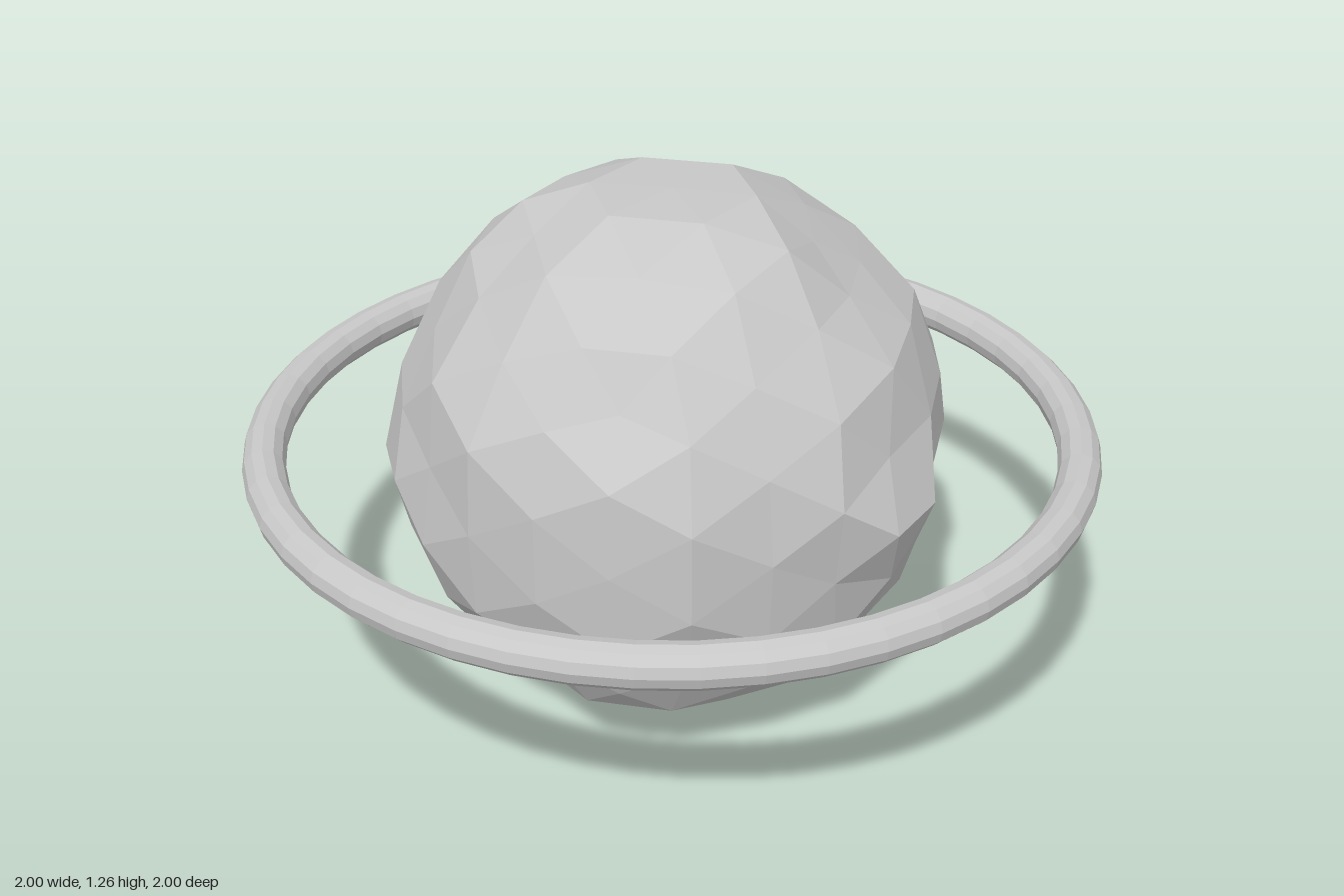
import * as THREE from 'three';
import { mergeVertices } from 'three/addons/utils/BufferGeometryUtils.js';

const CENTER_Y = 0.65;

function seededRandom(seed) {
  return () => {
    seed = (seed * 16807) % 2147483647;
    return seed / 2147483647;
  };
}

// Bumps and dents on the three main outlines, as offsets from the planet's centre
const sideOutline = [ // x, y
  [0.24, 0.6], [0.395, 0.465], [0.55, 0.33], [0.62, 0.17], [0.6, -0.18], [0.55, -0.35],
  [0.43, -0.48], [0.27, -0.56], [0.13, -0.63], [-0.17, -0.645], [-0.35, -0.57],
  [-0.48, -0.42], [-0.6, -0.18], [-0.63, 0.17], [-0.44, 0.48], [-0.29, 0.59], [-0.14, 0.63],
];
const crossOutline = [ // z, y
  [0.15, 0.63], [0, 0.62], [-0.15, 0.63], [0.3, 0.58], [0.45, 0.47], [0.55, 0.3],
  [0.65, 0.17], [0.65, -0.18], [0.59, -0.32], [0.46, -0.48], [0.33, -0.55], [0, -0.64],
  [-0.3, -0.56], [-0.46, -0.48], [-0.59, -0.3], [-0.64, -0.15], [-0.63, 0.17],
  [-0.57, 0.32], [-0.46, 0.48], [-0.29, 0.56],
];
const equator = [ // x, z
  [0, -0.66], [0.2, -0.63], [0.4, -0.54], [0.54, -0.37], [0.62, -0.2], [0.58, 0], [0.64, 0.2],
  [0.55, 0.4], [0.37, 0.51], [0.2, 0.63], [0, 0.655], [-0.2, 0.62], [-0.38, 0.52],
  [-0.57, 0.35], [-0.64, 0.2], [-0.65, 0], [-0.61, -0.2], [-0.52, -0.37], [-0.38, -0.53],
];

function planetGeometry() {
  const controls = [
    ...sideOutline.map(([x, y]) => new THREE.Vector3(x, y, 0)),
    ...crossOutline.map(([z, y]) => new THREE.Vector3(0, y, z)),
    ...equator.map(([x, z]) => new THREE.Vector3(x, 0, z)),
  ].map((p) => ({ radius: p.length(), dir: p.clone().normalize() }));

  const base = new THREE.IcosahedronGeometry(1, 3);
  base.deleteAttribute('normal');
  base.deleteAttribute('uv');
  const welded = mergeVertices(base, 1e-3);
  const pos = welded.attributes.position;
  const random = seededRandom(77);
  const v = new THREE.Vector3();

  // Each corner takes the radius of a nearby outline point, or a small random bump
  for (let i = 0; i < pos.count; i++) {
    v.fromBufferAttribute(pos, i).normalize();
    let radius = 0.645 + (random() - 0.5) * 0.04;
    let best = 0.985;
    for (const c of controls) {
      const d = c.dir.dot(v);
      if (d > best) {
        best = d;
        radius = c.radius;
      }
    }
    v.multiplyScalar(radius);
    pos.setXYZ(i, v.x, v.y, v.z);
  }
  const geometry = welded.toNonIndexed();
  geometry.computeVertexNormals();
  return geometry;
}

export function createModel() {
  const group = new THREE.Group();
  group.name = 'ringedPlanet';

  const grey = new THREE.MeshStandardMaterial({ color: 0xc8c8c8, flatShading: true });
  grey.name = 'light grey';

  // Faceted, slightly lumpy planet
  const planet = new THREE.Mesh(planetGeometry(), grey);
  planet.name = 'planet';
  planet.position.y = CENTER_Y;

  // Thin level ring around the equator
  const ring = new THREE.Mesh(new THREE.TorusGeometry(0.95, 0.05, 12, 48), grey);
  ring.name = 'ring';
  ring.rotation.x = Math.PI / 2;
  ring.position.y = CENTER_Y;

  group.add(planet, ring);
  return group;
}
